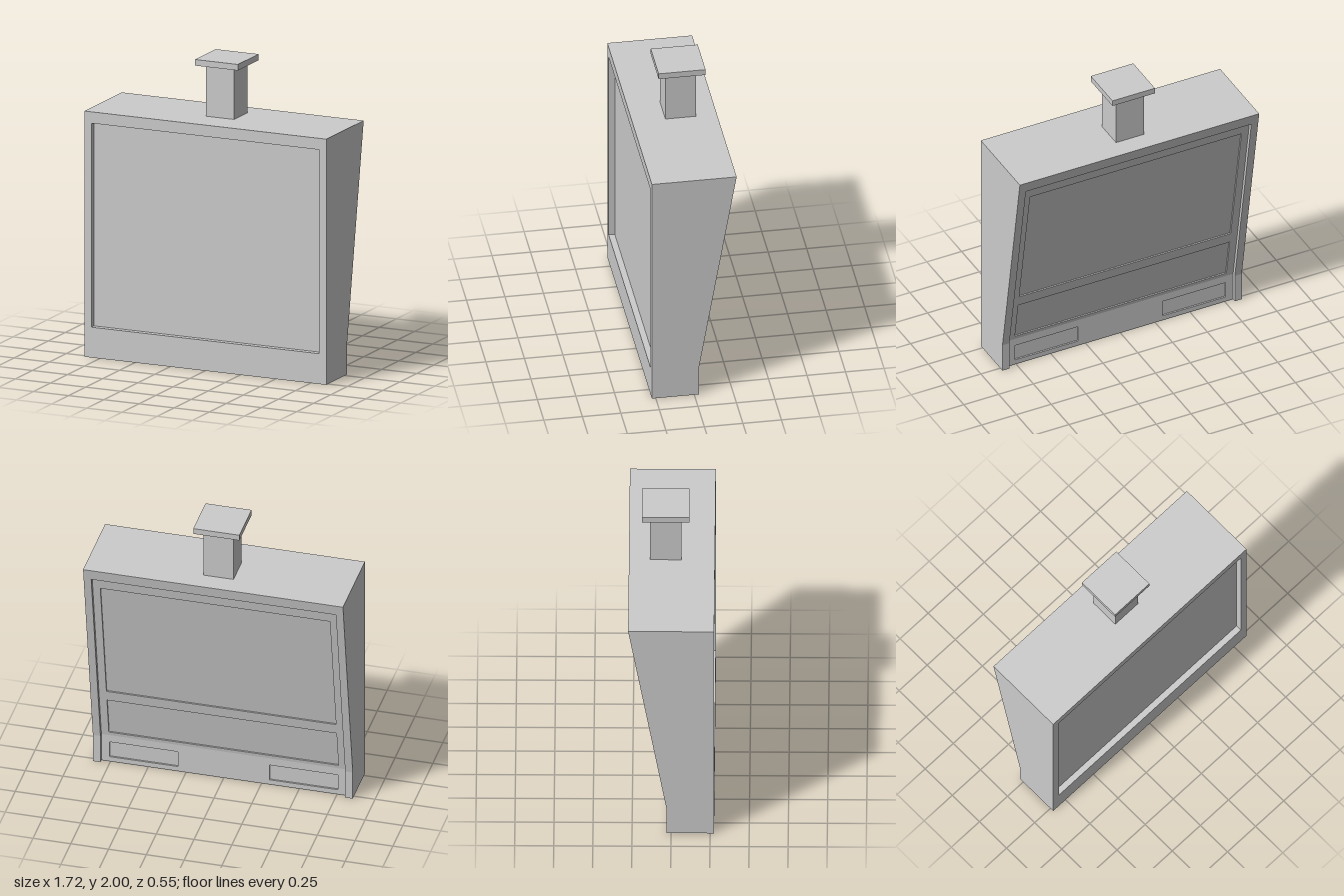
import * as THREE from 'three';

const W = 0.86, H = 1.62, BEND = 0.2, FRONT = 0.275;
const IN = 0.81, IN_TOP = 1.545;          // inner edge of the rims
const RECESS = 0.025, POCKET = 0.036;     // depths measured in from the back

// z of the rear face: upright foot, then leaning out towards the top
const backZ = (y) => (y <= BEND ? -0.03 : -0.03 - 0.245 * (y - BEND) / (H - BEND));

const rect = (x0, y0, x1, y1) => [[x0, y0], [x1, y0], [x1, y1], [x0, y1]];
const toPath = (pts, Type) => new Type(pts.map(([x, y]) => new THREE.Vector2(x, y)));

export function createModel() {
  const model = new THREE.Group();
  const material = new THREE.MeshStandardMaterial({ color: 0xcccccc });

  function add(parent, name, geometry) {
    const mesh = new THREE.Mesh(geometry, material);
    mesh.name = name;
    parent.add(mesh);
    return mesh;
  }

  // Layer cut from an outline; its rear and front faces follow the two rules
  function layer(parent, name, outline, holes, rear, front) {
    const shape = toPath(outline, THREE.Shape);
    shape.holes = holes.map((h) => toPath(h, THREE.Path));
    const geometry = new THREE.ExtrudeGeometry(shape, { depth: 1, bevelEnabled: false });
    const p = geometry.attributes.position;
    for (let i = 0; i < p.count; i++) {
      p.setZ(i, p.getZ(i) < 0.5 ? rear(p.getY(i)) : front(p.getY(i)));
    }
    geometry.computeVertexNormals();
    return add(parent, name, geometry);
  }

  const inset = (d) => (y) => backZ(y) + d;
  const flat = (z) => () => z;
  const upper = rect(-W, BEND, W, H), lower = rect(-W, 0, W, BEND);

  const cabinet = new THREE.Group();
  cabinet.name = 'cabinet';
  model.add(cabinet);

  // Front frame around the sunken screen
  const screenZ = FRONT - 0.04;
  layer(cabinet, 'frontFrame', rect(-W, 0, W, H), [rect(-IN, BEND, IN, IN_TOP)], flat(screenZ), flat(FRONT));

  // Solid core; its front is the screen, its back the pocket floors
  layer(cabinet, 'upperCore', upper, [], inset(POCKET), flat(screenZ));
  layer(cabinet, 'lowerCore', lower, [], inset(POCKET), flat(screenZ));

  // Rear panel with shallow pockets
  layer(cabinet, 'upperBackPanel', upper,
    [rect(-0.76, 0.575, 0.76, 1.46), rect(-0.76, 0.225, 0.76, 0.5)], inset(RECESS), inset(POCKET));
  layer(cabinet, 'lowerBackPanel', lower,
    [-1, 1].map((s) => rect(s * 0.53 - 0.227, 0.035, s * 0.53 + 0.227, 0.148)), inset(RECESS), inset(POCKET));

  // Raised rear rim, open at the bottom
  layer(cabinet, 'upperBackRim',
    [[-W, BEND], [-IN, BEND], [-IN, IN_TOP], [IN, IN_TOP], [IN, BEND], [W, BEND], [W, H], [-W, H]],
    [], inset(0), inset(RECESS));
  for (const s of [-1, 1]) {
    const mid = s * (W + IN) / 2, half = (W - IN) / 2;
    layer(cabinet, s > 0 ? 'lowerBackRimLeft' : 'lowerBackRimRight',
      rect(mid - half, 0, mid + half, BEND), [], inset(0), inset(RECESS));
  }

  // Mounting post and plate on top
  const mount = new THREE.Group();
  mount.name = 'ceilingMount';
  mount.position.z = -0.04;
  model.add(mount);
  add(mount, 'post', new THREE.BoxGeometry(0.2, 0.34, 0.2)).position.y = 1.79;
  add(mount, 'mountPlate', new THREE.BoxGeometry(0.305, 0.04, 0.305)).position.y = 1.98;

  return model;
}
